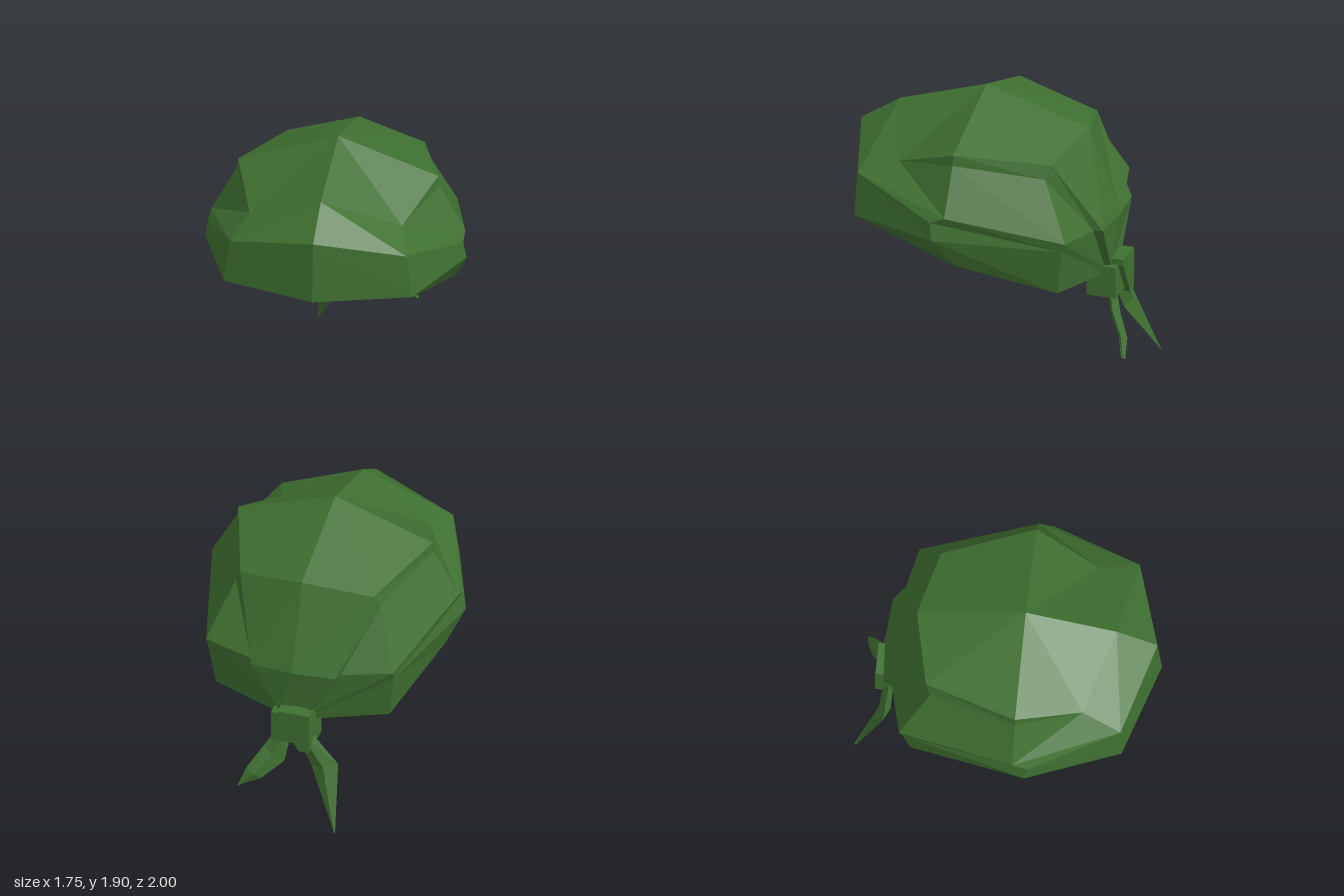
import * as THREE from 'three';

const cloth = new THREE.MeshStandardMaterial({ color: 0x3f7031, flatShading: true, side: THREE.DoubleSide });

// Flat-shaded mesh from polygons, each a list of corner points
function patch(name, polygons) {
  const pos = [];
  for (const p of polygons)
    for (let i = 1; i < p.length - 1; i++) pos.push(...p[0], ...p[i], ...p[i + 1]);
  const g = new THREE.BufferGeometry();
  g.setAttribute('position', new THREE.Float32BufferAttribute(pos, 3));
  g.computeVertexNormals();
  const m = new THREE.Mesh(g, cloth);
  m.name = name;
  return m;
}

// Same polygons on both sides of the head
function mirrored(polygons) {
  const flip = polygons.map((p) => p.map(([x, y, z]) => [-x, y, z]).reverse());
  return [...polygons, ...flip];
}

// Pointed cloth tail: rhombic sections [x, y, z, halfWidth, halfDepth], tilted across the run
function tail(name, sections, across) {
  const rings = sections.map(([x, y, z, w, d]) => [
    [x - across[0] * w, y - across[1] * w, z],
    [x, y, z + d],
    [x + across[0] * w, y + across[1] * w, z],
    [x, y, z - d],
  ]);
  const faces = [];
  for (let i = 0; i < rings.length - 1; i++)
    for (let j = 0; j < 4; j++) {
      const k = (j + 1) % 4;
      faces.push([rings[i][j], rings[i + 1][j], rings[i + 1][k], rings[i][k]]);
    }
  return patch(name, faces);
}

export function createModel() {
  const group = new THREE.Group();
  group.name = 'headScarf';

  // Centre line, front to back
  const A = [[0, 1.53, 0.97], [0, 1.71, 0.7], [0, 1.9, 0.1], [0, 1.69, -0.62], [0, 1.1, -0.83], [0, 0.75, -0.78]];
  // Edge of the raised crown strip
  const C1 = [0.51, 1.5, 0.53], C2 = [0.67, 1.67, 0.1], C3 = [0.46, 1.6, -0.51];
  const C4 = [0.29, 1.1, -0.81], C5 = [0.1, 0.76, -0.8];
  // Upper edge of the side panel, tucked under the crown
  const S2 = [0.68, 1.6, 0.1], S3 = [0.5, 1.51, -0.48], S4 = [0.31, 1.1, -0.75], S5 = [0.11, 0.76, -0.76];
  // Lower edge of the side panel
  const B1 = [0.59, 1.41, 0.79], B2 = [0.85, 1.29, 0.1], B3 = [0.645, 1.13, -0.67];
  // Band: top, outer rim and underside
  const T2 = [0.855, 1.25, 0.2], T3 = [0.64, 1.07, -0.645], T4 = [0.12, 0.74, -0.75];
  const R0 = [0, 1.12, 1], R1 = [0.63, 1.12, 0.8], R2 = [0.875, 1.13, 0.18];
  const U0 = [0, 1.07, 0.87], U1 = [0.56, 1.07, 0.7], U2 = [0.78, 0.93, 0.05];
  const U3 = [0.6, 0.75, -0.6], U4 = [0.12, 0.7, -0.74], U5 = [0, 0.7, -0.74];

  group.add(patch('crown', mirrored([
    [A[0], B1, A[1]], [A[1], B1, C1], [A[1], C1, A[2]], [A[2], C1, C2],
    [A[2], C2, C3], [A[2], C3, A[3]], [A[3], C3, C4, A[4]], [A[4], C4, C5, A[5]],
  ])));
  group.add(patch('crownFold', mirrored([
    [C1, S2, C2], [C2, S2, S3, C3], [C3, S3, S4, C4], [C4, S4, S5, C5],
  ])));
  group.add(patch('sidePanel', mirrored([
    [B1, B2, C1], [C1, B2, S2], [S2, B2, B3, S3], [S3, B3, S4], [S4, B3, S5],
  ])));
  group.add(patch('sideFold', mirrored([
    [B1, T2, B2], [B2, T2, T3, B3], [B3, T3, T4, S5],
  ])));
  group.add(patch('band', mirrored([
    [A[0], R0, R1, B1], [B1, R1, R2, T2], [T2, R2, T3],
    [R2, U2, U3, T3], [T3, U3, U4, T4], [T4, U4, U5, A[5]],
  ])));
  group.add(patch('rim', mirrored([
    [R0, U0, U1, R1], [R1, U1, U2, R2],
  ])));

  // Knot: a slanted block overlapping a smaller one
  const outline = new THREE.Shape([[-0.135, 0.52], [-0.06, 0.52], [0.085, 0.77], [0.085, 0.81], [-0.135, 0.81]]
    .map(([x, y]) => new THREE.Vector2(x, y)));
  const wrap = new THREE.Mesh(new THREE.ExtrudeGeometry(outline, { depth: 0.26, bevelEnabled: false }), cloth);
  wrap.name = 'knotWrap';
  wrap.position.z = -0.88;
  const core = new THREE.Mesh(new THREE.BoxGeometry(0.24, 0.22, 0.2), cloth);
  core.name = 'knotCore';
  core.position.set(0.02, 0.66, -0.745);
  group.add(wrap, core);

  // Hanging ends
  group.add(tail('longTail', [
    [-0.07, 0.6, -0.79, 0.06, 0.03],
    [-0.22, 0.4, -0.81, 0.095, 0.04],
    [-0.345, 0, -0.99, 0.004, 0.008],
  ], [0.97, -0.25]));
  group.add(tail('shortTail', [
    [0.07, 0.58, -0.8, 0.055, 0.03],
    [0.12, 0.44, -0.84, 0.085, 0.035],
    [0.23, 0.32, -0.93, 0.06, 0.03],
    [0.33, 0.22, -0.965, 0.004, 0.015],
  ], [0.83, 0.56]));

  return group;
}
